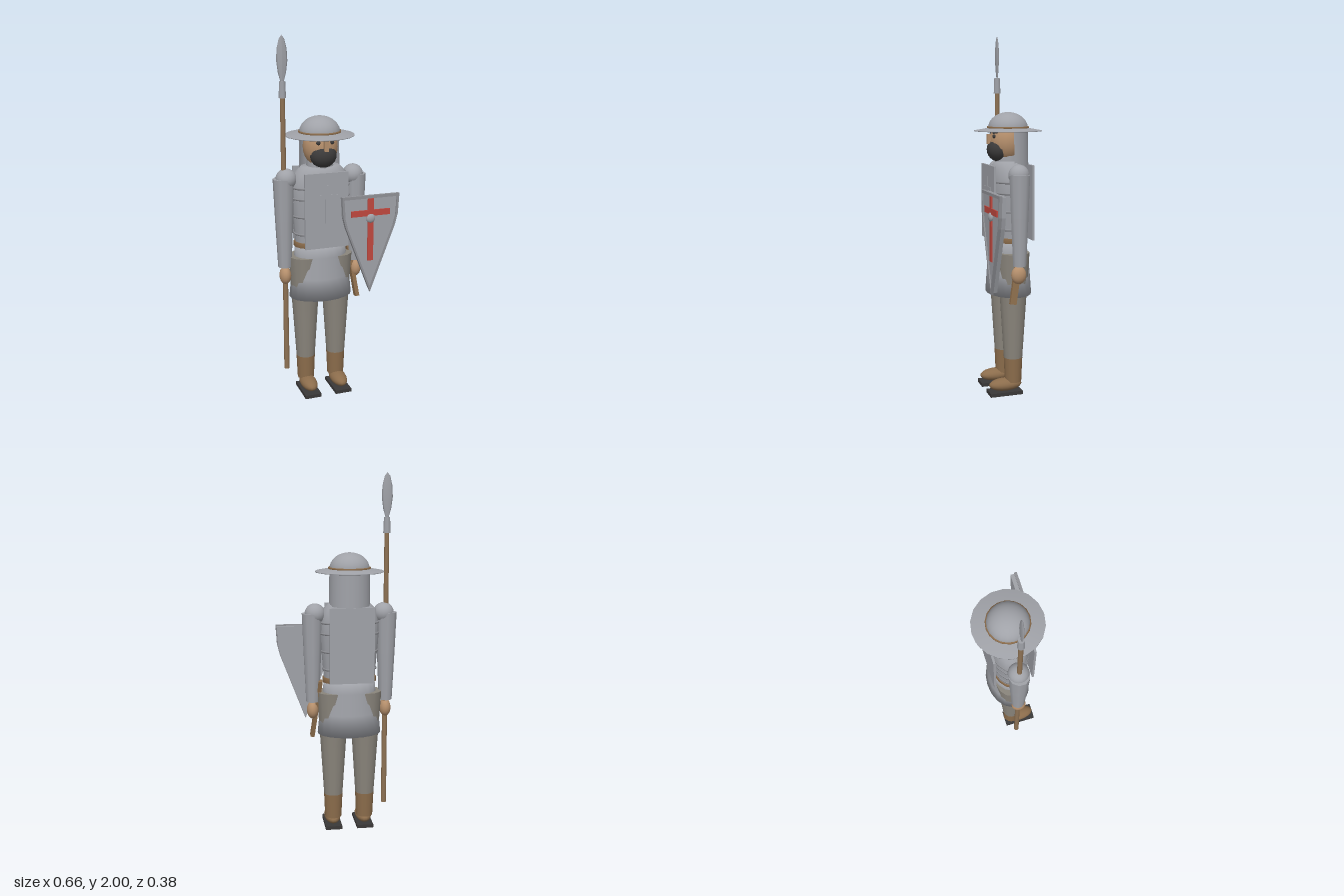
import * as THREE from 'three';

const mat = (name, color) => {
  const m = new THREE.MeshStandardMaterial({ color, side: THREE.DoubleSide });
  m.name = name;
  return m;
};
const steel = mat('steel', 0xa0a2a8), plate = mat('plate grey', 0x8f9095), wood = mat('wood', 0x8e7254),
  leather = mat('leather', 0x8c6d4c), skin = mat('skin', 0xb58f6c), cloth = mat('trouser cloth', 0x8a857c),
  dark = mat('dark hair', 0x3c3b3b), red = mat('red paint', 0xc0483f), sole = mat('sole', 0x3a3838);

export function createModel() {
  const model = new THREE.Group();
  model.name = 'spearman';
  const body = new THREE.Group();
  body.name = 'body';
  body.position.x = -0.07;
  model.add(body);

  const add = (parent, name, geo, material, x = 0, y = 0, z = 0) => {
    const m = new THREE.Mesh(geo, material);
    m.name = name;
    m.position.set(x, y, z);
    parent.add(m);
    return m;
  };
  const box = (p, name, m, w, h, d, x, y, z) => add(p, name, new THREE.BoxGeometry(w, h, d), m, x, y, z);
  // Tapered cylinder from height y0 to y1
  const tube = (p, name, m, r0, r1, y0, y1, x = 0, z = 0, n = 14) =>
    add(p, name, new THREE.CylinderGeometry(r1, r0, y1 - y0, n), m, x, (y0 + y1) / 2, z);
  const ball = (p, name, m, rx, ry, rz, x, y, z) =>
    add(p, name, new THREE.SphereGeometry(1, 18, 12).scale(rx, ry, rz), m, x, y, z);
  // Lathe flattened in depth
  const lathe = (p, name, m, pts, depth = 1, n = 18) =>
    add(p, name, new THREE.LatheGeometry(pts.map(q => new THREE.Vector2(...q)), n).scale(1, 1, depth), m);

  // Legs, boots and arms
  for (const s of [-1, 1]) {
    const leg = new THREE.Group();
    leg.name = s < 0 ? 'rightLeg' : 'leftLeg';
    body.add(leg);
    const lx = s * 0.09;
    tube(leg, 'thigh', cloth, 0.071, 0.092, 0.5, 0.81, lx);
    tube(leg, 'shin', cloth, 0.052, 0.071, 0.2, 0.5, lx);
    tube(leg, 'bootShaft', leather, 0.047, 0.053, 0.07, 0.21, lx);
    ball(leg, 'bootFoot', leather, 0.046, 0.036, 0.095, lx, 0.054, 0.046);
    box(leg, 'sole', sole, 0.094, 0.02, 0.187, lx, 0.01, 0.05);

    const arm = new THREE.Group();
    arm.name = s < 0 ? 'rightArm' : 'leftArm';
    body.add(arm);
    const ax = s * 0.205;
    ball(arm, 'shoulder', steel, 0.057, 0.057, 0.057, s * 0.19, 1.247, 0);
    tube(arm, 'upperArm', steel, 0.049, 0.058, 1.02, 1.25, ax, 0, 10);
    tube(arm, 'forearm', steel, 0.037, 0.049, 0.755, 1.02, ax, 0, 10);
    ball(arm, 'hand', skin, 0.032, 0.05, 0.042, ax, 0.705, 0.005);
  }

  // Torso, mail skirt, belt and lames
  lathe(body, 'torso', steel, [[0.14, 0.86], [0.152, 1], [0.163, 1.12], [0.163, 1.2], [0.148, 1.27], [0.108, 1.31], [0, 1.312]], 0.65);
  lathe(body, 'skirt', steel, [[0, 0.575], [0.178, 0.57], [0.166, 0.69], [0.148, 0.81], [0.143, 0.875], [0, 0.876]], 0.7);
  lathe(body, 'belt', leather, [[0.143, 0.866], [0.15, 0.866], [0.15, 0.894], [0.143, 0.894]], 0.66);
  for (const y of [0.94, 1.04, 1.14, 1.2]) {
    const r = y > 1.1 ? 0.166 : 0.15 + (y - 0.94) * 0.09;
    lathe(body, 'lame', plate, [[r - 0.008, y - 0.005], [r + 0.002, y - 0.005], [r + 0.002, y + 0.005], [r - 0.008, y + 0.005]], 0.65);
  }

  // Breast and back plates
  box(body, 'breastPlate', steel, 0.245, 0.415, 0.012, 0, 1.083, 0.112);
  box(body, 'backPlate', steel, 0.245, 0.415, 0.012, 0, 1.083, -0.108);
  box(body, 'breastCrossUpright', steel, 0.022, 0.21, 0.004, 0, 1.12, 0.119);
  box(body, 'breastCrossBar', steel, 0.12, 0.022, 0.004, 0, 1.16, 0.119);

  // Scabbard hanging from the belt
  const scabbard = box(body, 'scabbard', leather, 0.022, 0.34, 0.036, 0.184, 0.71, 0.008);
  scabbard.rotation.set(-0.18, 0, 0.12);

  // Head with beard and face
  tube(body, 'neck', steel, 0.075, 0.07, 1.28, 1.38);
  ball(body, 'head', skin, 0.094, 0.115, 0.096, 0, 1.415, 0.008);
  ball(body, 'beard', dark, 0.073, 0.067, 0.064, 0, 1.375, 0.056);
  box(body, 'nose', skin, 0.024, 0.055, 0.03, 0, 1.432, 0.105);
  for (const s of [-1, 1]) {
    ball(body, 'eye', dark, 0.012, 0.011, 0.009, s * 0.038, 1.448, 0.091);
    const brow = box(body, 'brow', dark, 0.036, 0.008, 0.009, s * 0.04, 1.467, 0.085);
    brow.rotation.set(0, s * 0.35, s * 0.15);
  }
  add(body, 'coif', new THREE.CylinderGeometry(0.11, 0.113, 0.19, 12, 1, true, Math.PI / 2, Math.PI), steel, 0, 1.385, 0);

  // Kettle hat
  lathe(body, 'hatBrim', steel, [[0.09, 1.478], [0.188, 1.474], [0.188, 1.478], [0.11, 1.492], [0.09, 1.493]]);
  lathe(body, 'hatBand', leather, [[0.105, 1.486], [0.116, 1.486], [0.115, 1.5], [0.105, 1.5]]);
  add(body, 'hatDome', new THREE.SphereGeometry(1, 20, 10, 0, Math.PI * 2, 0, Math.PI / 2).scale(0.11, 0.088, 0.11), steel, 0, 1.49, 0);

  // Spear
  const spear = new THREE.Group();
  spear.name = 'spear';
  spear.position.x = -0.273;
  model.add(spear);
  tube(spear, 'shaft', wood, 0.015, 0.013, 0.14, 1.7, 0, 0, 10);
  tube(spear, 'socket', steel, 0.02, 0.017, 1.68, 1.765, 0, 0, 8);
  const blade = lathe(spear, 'blade', steel, [[0.008, 1.76], [0.022, 1.81], [0.03, 1.87], [0.027, 1.93], [0.015, 1.98], [0, 2]], 0.27, 8);
  blade.geometry.computeVertexNormals();

  // Heater shield
  const shield = new THREE.Group();
  shield.name = 'shield';
  shield.position.set(0.161, 0, 0);
  model.add(shield);
  const outline = (Type, k) => {
    const o = new Type();
    const P = (x, y) => [x * k, 0.96 + (y - 0.96) * k];
    o.moveTo(...P(-0.165, 1.163));
    o.lineTo(...P(-0.158, 1.05));
    o.lineTo(...P(-0.143, 0.99));
    o.lineTo(...P(0, 0.613));
    o.lineTo(...P(0.143, 0.99));
    o.lineTo(...P(0.158, 1.05));
    o.lineTo(...P(0.165, 1.163));
    o.closePath();
    return o;
  };
  const extrude = (shape, depth) => new THREE.ExtrudeGeometry(shape, { depth, bevelEnabled: false });
  add(shield, 'shieldBoard', extrude(outline(THREE.Shape, 0.97), 0.03), steel, 0, 0, 0.135);
  const rim = outline(THREE.Shape, 1);
  rim.holes.push(outline(THREE.Path, 0.92));
  add(shield, 'shieldRim', extrude(rim, 0.016), plate, 0, 0, 0.157);
  box(shield, 'crossUpright', red, 0.033, 0.35, 0.008, 0, 0.97, 0.168);
  box(shield, 'crossBar', red, 0.225, 0.033, 0.008, 0, 1.065, 0.1685);
  ball(shield, 'boss', steel, 0.026, 0.026, 0.014, 0, 1.035, 0.169);

  return model;
}
